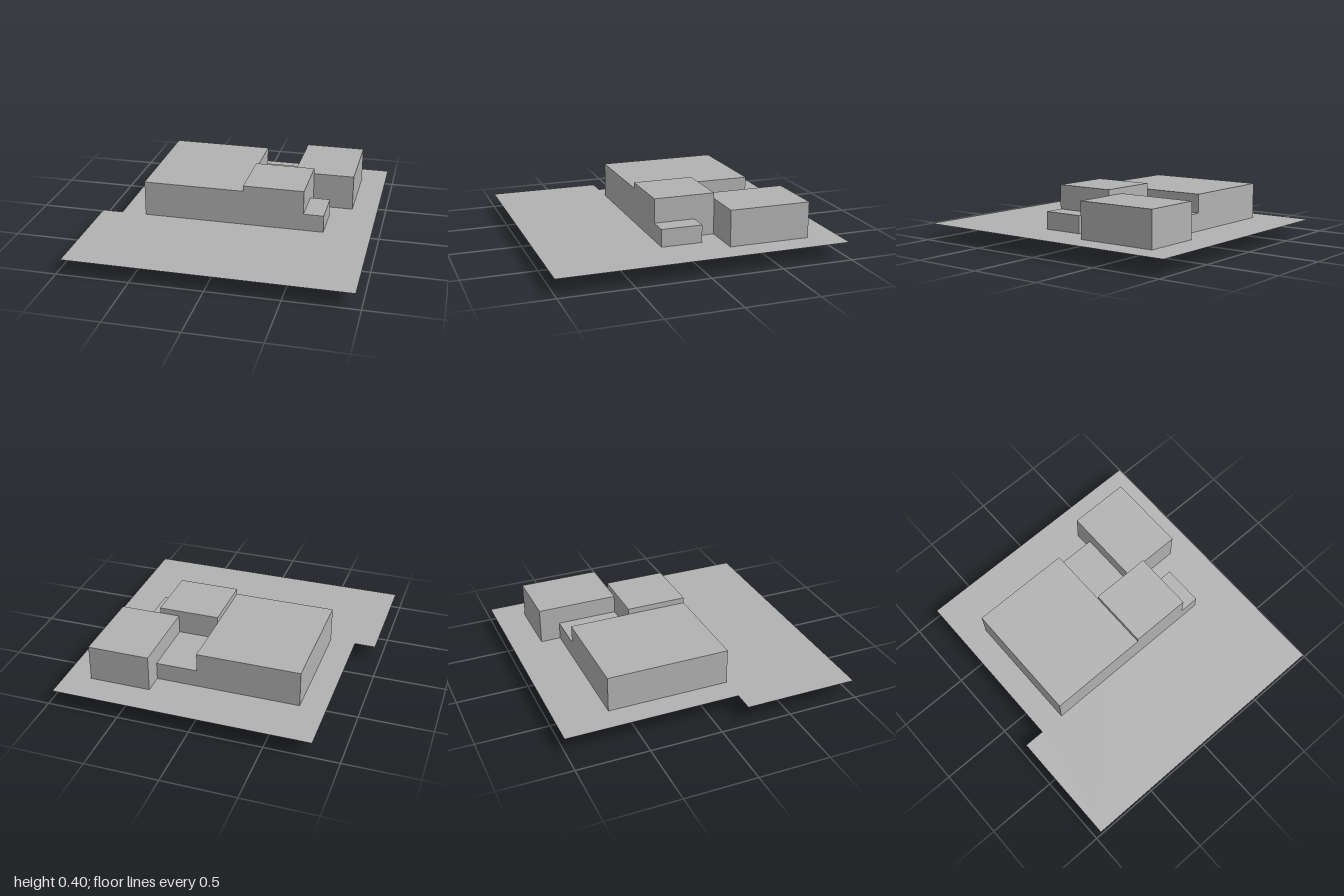
import * as THREE from 'three';

const GROUND = 0.11;

export function createModel() {
  const model = new THREE.Group();
  const grey = new THREE.MeshStandardMaterial({ color: 0xb2b2b2, side: THREE.DoubleSide });
  grey.name = 'plain grey';

  // Box given by its limits along each axis
  const block = (name, [x0, x1], [y0, y1], [z0, z1]) => {
    const mesh = new THREE.Mesh(new THREE.BoxGeometry(x1 - x0, y1 - y0, z1 - z0), grey);
    mesh.position.set((x0 + x1) / 2, (y0 + y1) / 2, (z0 + z1) / 2);
    mesh.name = name;
    model.add(mesh);
  };

  // Flat site sheet with a notch in its back right corner (shape y = -z)
  const outline = [[-0.96, -1], [0.96, -1], [0.96, 1], [-0.815, 1], [-0.815, -0.205], [-0.96, -0.205]];
  const site = new THREE.Mesh(
    new THREE.ShapeGeometry(new THREE.Shape(outline.map(([x, y]) => new THREE.Vector2(x, y)))), grey);
  site.rotation.x = -Math.PI / 2;
  site.position.y = GROUND;
  site.name = 'sitePlate';
  model.add(site);

  // Building volumes
  block('mainHall', [-0.64, 0.07], [GROUND, 0.36], [-0.645, 0.205]);
  block('frontWing', [0.07, 0.495], [GROUND, 0.4], [-0.22, 0.205]);
  block('sidePorch', [0.495, 0.635], [GROUND, 0.232], [-0.08, 0.205]);
  block('rearWing', [0.355, 0.78], [GROUND, 0.36], [-0.785, -0.22]);
  block('lowLink', [0.07, 0.355], [GROUND, 0.232], [-0.645, -0.22]);

  // Cellar below the site
  block('cellar', [-0.18, 0.07], [0, GROUND], [-0.645, -0.005]);

  return model;
}
